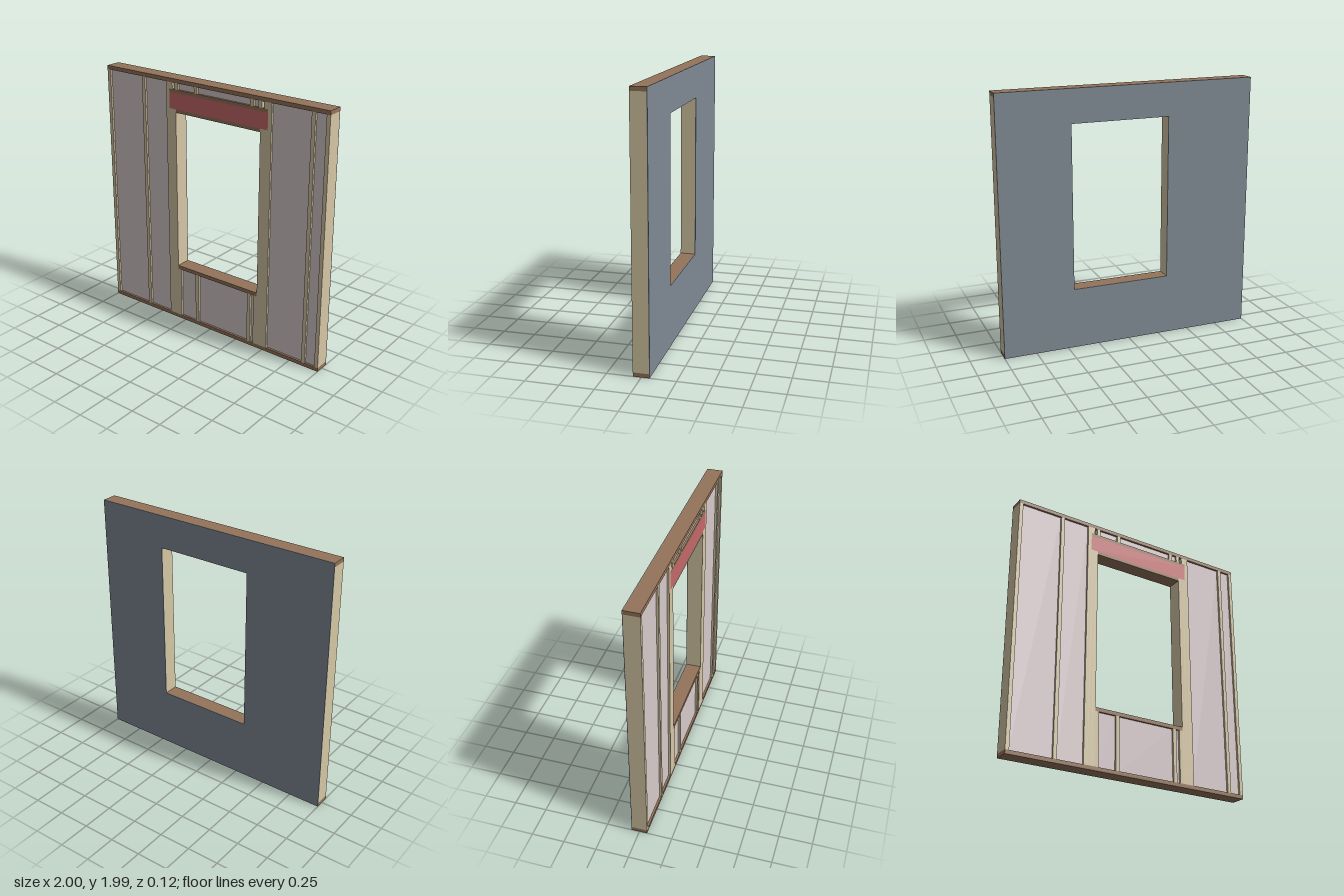
import * as THREE from 'three';

const COLORS = {
  plate: 0x94745a, stud: 0xd6c7a5, header: 0xc8686a,
  insulation: 0xd9cbcc, sheathing: 0x808a94,
};

export function createModel() {
  const wall = new THREE.Group();
  wall.name = 'framedWall';

  const mats = {};
  for (const key in COLORS) {
    mats[key] = new THREE.MeshStandardMaterial({ color: COLORS[key] });
  }

  const W = 1, H = 1.99, T = 0.03;          // half width, height, lumber thickness
  const FRONT = 0.06, BACK = -0.06, SKIN = -0.055;
  const FILL = FRONT - 0.016;               // insulation sits behind the stud faces
  const L = -0.317, R = 0.444;              // window opening
  const SILL = 0.472, HEAD = 1.735;
  const HL = -0.377, HR = 0.508;            // header span
  const LOW = T, HIGH = H - T;

  // Box given by its limits in x, y and z
  const block = (name, mat, x0, x1, y0, y1, z0 = SKIN, z1 = FRONT) => {
    const mesh = new THREE.Mesh(new THREE.BoxGeometry(x1 - x0, y1 - y0, z1 - z0), mats[mat]);
    mesh.position.set((x0 + x1) / 2, (y0 + y1) / 2, (z0 + z1) / 2);
    mesh.name = name;
    wall.add(mesh);
  };

  // Horizontal plates
  block('bottomPlate', 'plate', -W, W, 0, LOW);
  block('topPlate', 'plate', -W, W, HIGH, H);
  block('windowSill', 'plate', L, R, SILL - T, SILL);
  block('headerBottomPlate', 'plate', L, R, HEAD, 1.76);
  block('headerTopPlate', 'plate', HL, HR, 1.885, 1.91);

  // Header beam
  block('headerBeam', 'header', HL, HR, 1.76, 1.885);

  // Full-height studs, including the king studs beside the opening
  for (const x of [-W, -0.645, HL - T, HR, 0.856, W - T]) {
    block('stud', 'stud', x, x + T, LOW, HIGH);
  }

  // Doubled jack studs carrying the header
  for (const [x0, x1] of [[HL, L], [R, HR]]) {
    const mid = (x0 + x1) / 2;
    block('jackStud', 'stud', x0, mid, LOW, 1.76);
    block('jackStud', 'stud', mid, x1, LOW, 1.76);
  }

  // Short cripple studs under the sill and over the header
  for (const x of [L, -0.144, 0.356, R - T]) {
    block('sillCripple', 'stud', x, x + T, LOW, SILL - T);
  }
  for (const x of [HL, -0.328, -0.144, 0.356, 0.427, HR - T]) {
    block('headerCripple', 'stud', x, x + T, 1.91, HIGH);
  }

  // Insulation filling the bays: [x0, x1, y0, y1]
  const bays = [
    [-W + T, -0.645, LOW, HIGH], [-0.615, HL - T, LOW, HIGH],
    [HR + T, 0.856, LOW, HIGH], [0.886, W - T, LOW, HIGH],
    [L + T, -0.144, LOW, SILL - T], [-0.114, 0.356, LOW, SILL - T], [0.386, R - T, LOW, SILL - T],
    [-0.298, -0.144, 1.91, HIGH], [-0.114, 0.356, 1.91, HIGH], [0.386, 0.427, 1.91, HIGH],
  ];
  for (const b of bays) block('insulation', 'insulation', ...b, SKIN, FILL);

  // Back sheathing: one notched sheet and one plain sheet meeting at the opening's edge
  const sheet = new THREE.Shape();
  [[-W, 0], [R, 0], [R, SILL], [L, SILL], [L, HEAD], [R, HEAD], [R, H], [-W, H]]
    .forEach(([x, y], i) => (i ? sheet.lineTo(x, y) : sheet.moveTo(x, y)));
  const notched = new THREE.Mesh(
    new THREE.ExtrudeGeometry(sheet, { depth: SKIN - BACK, bevelEnabled: false }), mats.sheathing);
  notched.position.z = BACK;
  notched.name = 'notchedSheathing';
  wall.add(notched);
  block('plainSheathing', 'sheathing', R, W, 0, H, BACK, SKIN);

  return wall;
}
